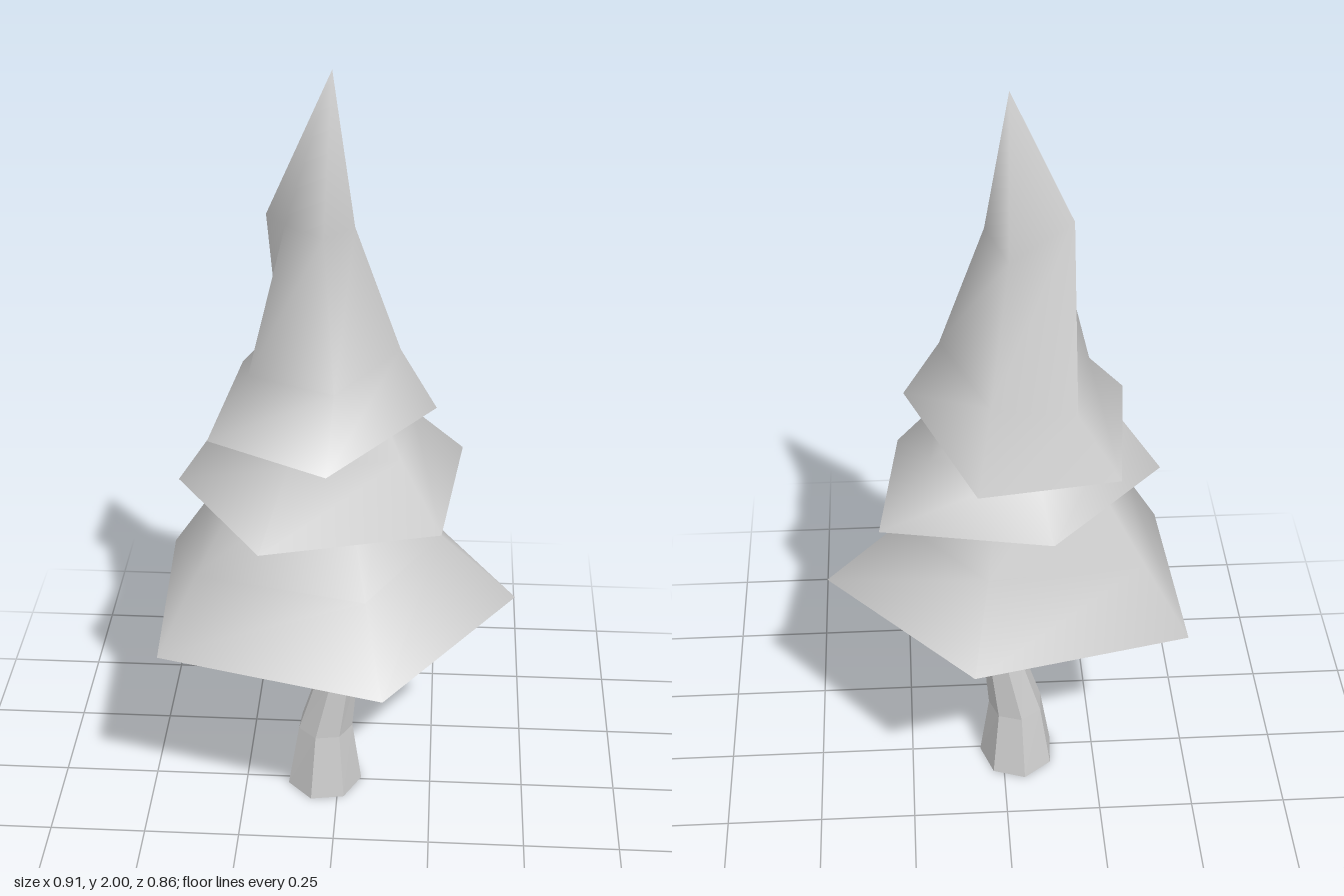
import * as THREE from 'three';

// Joins rings of [x, y, z] points (bottom to top, running from +x towards +z).
// An optional tip closes the top.
function loft(rings, tip) {
  const n = rings[0].length;
  const points = rings.flat();
  const index = [];
  for (let r = 0; r < rings.length - 1; r++) {
    for (let i = 0; i < n; i++) {
      const a = r * n + i, b = r * n + (i + 1) % n;
      index.push(a, a + n, b, b, a + n, b + n);
    }
  }
  if (tip) {
    const base = (rings.length - 1) * n;
    for (let i = 0; i < n; i++) index.push(base + i, points.length, base + (i + 1) % n);
    points.push(tip);
  }
  const geometry = new THREE.BufferGeometry();
  geometry.setAttribute('position', new THREE.Float32BufferAttribute(points.flat(), 3));
  geometry.setIndex(index);
  geometry.computeVertexNormals();
  return geometry;
}

// Foliage tiers: open five-cornered skirts narrowing to a tip
const tiers = [
  {
    name: 'lowerFoliage',
    tip: [-0.04, 1.32, -0.01],
    rings: [
      [[0.455, 0.62, 0.01], [0.13, 0.58, 0.425], [-0.435, 0.585, 0.28], [-0.457, 0.6, -0.245], [0.09, 0.66, -0.43]],
      [[0.26, 0.8, 0.01], [0.08, 0.76, 0.27], [-0.34, 0.78, 0.2], [-0.345, 0.79, -0.18], [0.05, 0.85, -0.29]],
      [[0.11, 1.08, 0], [0.02, 1.08, 0.15], [-0.18, 1.08, 0.1], [-0.18, 1.08, -0.1], [0.02, 1.12, -0.17]],
    ],
  },
  {
    name: 'middleFoliage',
    tip: [-0.04, 1.6, -0.01],
    rings: [
      [[0.31, 0.94, -0.2], [0.26, 0.92, 0.205], [-0.17, 0.935, 0.345], [-0.4, 0.945, 0.015], [-0.105, 0.985, -0.333]],
      [[0.18, 1.09, -0.12], [0.16, 1.08, 0.13], [-0.11, 1.09, 0.2], [-0.29, 1.11, 0.01], [-0.07, 1.12, -0.22]],
      [[0.06, 1.32, -0.07], [0.05, 1.32, 0.07], [-0.08, 1.32, 0.1], [-0.16, 1.32, 0], [-0.05, 1.32, -0.12]],
    ],
  },
  {
    name: 'upperFoliage',
    tip: [-0.015, 2, -0.01],
    rings: [
      [[0.24, 1.18, 0.04], [-0.01, 1.145, 0.335], [-0.31, 1.12, 0.13], [-0.265, 1.13, -0.28], [0.075, 1.14, -0.34]],
      [[0.15, 1.33, 0.03], [0, 1.29, 0.2], [-0.215, 1.26, 0.05], [-0.165, 1.27, -0.21], [0.04, 1.32, -0.24]],
      [[0.04, 1.64, 0.03], [-0.03, 1.63, 0.08], [-0.12, 1.65, 0.05], [-0.168, 1.66, 0.01], [-0.01, 1.62, -0.1]],
    ],
  },
];

// Trunk sections: height, centre x, centre z, radius x, radius z
const trunkSections = [
  [0, -0.04, -0.015, 0.102, 0.112],
  [0.18, -0.037, -0.012, 0.074, 0.076],
  [0.35, -0.003, -0.01, 0.054, 0.061],
  [0.57, -0.035, -0.008, 0.047, 0.047],
  [0.72, -0.03, -0.005, 0.045, 0.045],
];

export function createModel() {
  const tree = new THREE.Group();
  tree.name = 'tree';
  const leaves = new THREE.MeshStandardMaterial({ color: 0xcccccc, side: THREE.DoubleSide });
  const bark = new THREE.MeshStandardMaterial({ color: 0xcccccc, side: THREE.DoubleSide, flatShading: true });

  for (const { name, rings, tip } of tiers) {
    const tier = new THREE.Mesh(loft(rings, tip), leaves);
    tier.name = name;
    tree.add(tier);
  }

  // Crooked seven-sided hollow trunk
  const sides = 7;
  const trunkRings = trunkSections.map(([y, cx, cz, rx, rz]) =>
    Array.from({ length: sides }, (_, i) => {
      const angle = 0.07 + (i / sides) * Math.PI * 2;
      return [cx + rx * Math.cos(angle), y, cz + rz * Math.sin(angle)];
    }));
  const trunk = new THREE.Mesh(loft(trunkRings), bark);
  trunk.name = 'trunk';
  tree.add(trunk);

  return tree;
}
